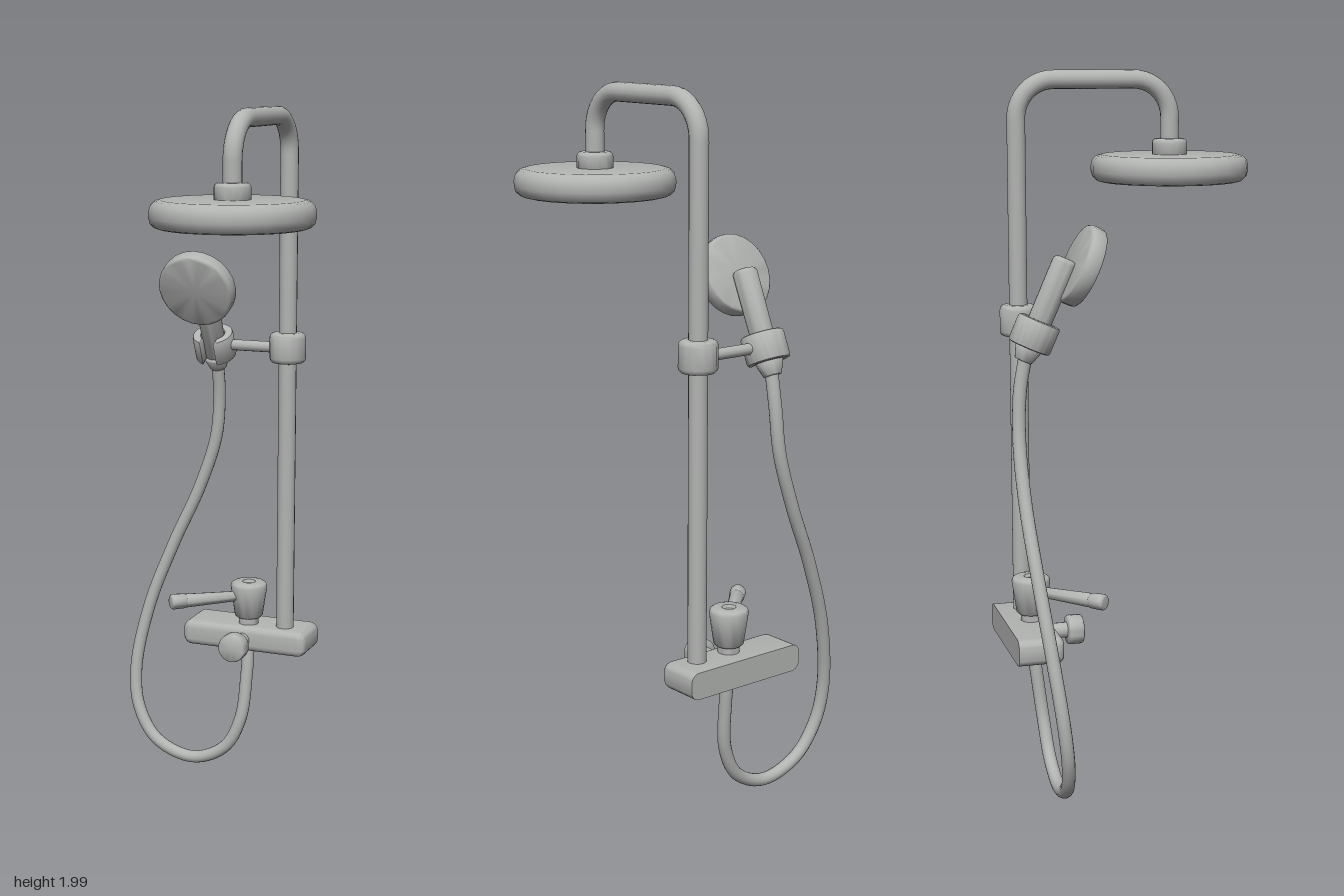
import * as THREE from 'three';
import { toCreasedNormals } from 'three/addons/utils/BufferGeometryUtils.js';

const V = (x, y, z) => new THREE.Vector3(x, y, z);

export function createModel() {
  const model = new THREE.Group();
  const metal = new THREE.MeshStandardMaterial({ color: 0xb2b4b2 });
  metal.name = 'satin metal';

  function add(name, geometry, parent = model) {
    const mesh = new THREE.Mesh(geometry, metal);
    mesh.name = name;
    parent.add(mesh);
    return mesh;
  }

  // Turned solid along y with rounded rims; radii may differ at each end
  function turned(rBottom, rTop, y0, y1, round, sides = 24) {
    const pts = [new THREE.Vector2(0, y0)];
    for (let i = 0; i <= 3; i++) {
      const a = (i / 3) * Math.PI / 2;
      pts.push(new THREE.Vector2(rBottom - round + round * Math.sin(a), y0 + round - round * Math.cos(a)));
    }
    for (let i = 0; i <= 3; i++) {
      const a = (i / 3) * Math.PI / 2;
      pts.push(new THREE.Vector2(rTop - round + round * Math.cos(a), y1 - round + round * Math.sin(a)));
    }
    pts.push(new THREE.Vector2(0, y1));
    return toCreasedNormals(new THREE.LatheGeometry(pts, sides), 0.8);
  }

  // Riser pipe and overhead arm with two round bends
  const X = 0.14, back = -0.292, front = 0.148, top = 1.974, bend = 0.105, k = bend * 0.448;
  const arm = new THREE.CurvePath();
  arm.add(new THREE.LineCurve3(V(X, 0.45, back), V(X, top - bend, back)));
  arm.add(new THREE.CubicBezierCurve3(V(X, top - bend, back), V(X, top - k, back),
    V(X, top, back + k), V(X, top, back + bend)));
  arm.add(new THREE.LineCurve3(V(X, top, back + bend), V(X, top, front - bend)));
  arm.add(new THREE.CubicBezierCurve3(V(X, top, front - bend), V(X, top, front - k),
    V(X, top - k, front), V(X, top - bend, front)));
  arm.add(new THREE.LineCurve3(V(X, top - bend, front), V(X, 1.78, front)));
  add('riserPipe', new THREE.TubeGeometry(arm, 120, 0.026, 16));

  // Overhead shower
  add('overheadShower', turned(0.222, 0.222, 1.69, 1.766, 0.03)).position.set(X, 0, front);
  add('overheadCollar', turned(0.05, 0.05, 1.755, 1.81, 0.012, 14)).position.set(X, 0, front);

  // Slider clamp on the riser and its side rod
  add('sliderClamp', turned(0.053, 0.053, 1.268, 1.356, 0.014, 14)).position.set(X, 0, back);
  const rod = add('sliderRod', new THREE.CylinderGeometry(0.016, 0.016, 0.19, 12));
  rod.rotation.z = Math.PI / 2;
  rod.position.set(0.05, 1.31, -0.296);

  // Tilted hand shower and its open-fronted holder
  const hand = new THREE.Group();
  hand.name = 'handShower';
  hand.position.set(-0.09, 1.307, -0.297);
  hand.rotation.x = THREE.MathUtils.degToRad(24);
  model.add(hand);

  const clip = new THREE.Shape();
  const rOut = 0.06, rIn = 0.034, gap = 0.021;
  const aOut = Math.asin(gap / rOut), aIn = Math.asin(gap / rIn);
  clip.absarc(0, 0, rOut, -Math.PI / 2 + aOut, 1.5 * Math.PI - aOut, false);
  clip.absarc(0, 0, rIn, 1.5 * Math.PI - aIn, -Math.PI / 2 + aIn, true);
  clip.closePath();
  const clipGeo = new THREE.ExtrudeGeometry(clip, {
    depth: 0.064, bevelThickness: 0.008, bevelSize: 0.008, bevelOffset: -0.008, bevelSegments: 2, curveSegments: 20
  });
  clipGeo.translate(0, 0, -0.032).rotateX(-Math.PI / 2);
  add('handShowerHolder', toCreasedNormals(clipGeo, 0.7), hand);

  add('handle', turned(0.033, 0.034, -0.045, 0.22, 0.014, 18), hand);
  add('hoseNut', turned(0.027, 0.038, -0.078, -0.034, 0.006, 16), hand);
  const head = add('handShowerHead', turned(0.112, 0.112, -0.024, 0.024, 0.01), hand);
  head.rotation.x = Math.PI / 2;
  head.position.set(0, 0.218, 0.047);

  // Mixer bar: rounded front edges, flat back
  const w = 0.174, h = 0.018, r = 0.006;
  const bar = new THREE.Shape();
  bar.absarc(w - r, h - r, r, 0, Math.PI / 2);
  bar.absarc(-w + r, h - r, r, Math.PI / 2, Math.PI);
  bar.absarc(-w + r, -h + r, r, Math.PI, 1.5 * Math.PI);
  bar.absarc(w - r, -h + r, r, 1.5 * Math.PI, 2 * Math.PI);
  bar.closePath();
  const barGeo = new THREE.ExtrudeGeometry(bar, {
    depth: 0.11, bevelThickness: 0.02, bevelSize: 0.02, bevelSegments: 4, curveSegments: 3
  });
  const pos = barGeo.attributes.position;
  for (let i = 0; i < pos.count; i++) pos.setZ(i, Math.max(0, pos.getZ(i)));
  add('mixerBar', toCreasedNormals(barGeo, 0.7)).position.set(0.025, 0.432, -0.366);

  // Temperature cup with a shallow dimple on top
  const cup = [[0, 0.46], [0.03, 0.46], [0.03, 0.49], [0.036, 0.49], [0.042, 0.496], [0.055, 0.585],
    [0.052, 0.594], [0.044, 0.599], [0.02, 0.599], [0.016, 0.59], [0, 0.59]];
  const cupGeo = new THREE.LatheGeometry(cup.map(([x, y]) => new THREE.Vector2(x, y)), 20);
  add('temperatureCup', toCreasedNormals(cupGeo, 0.7)).position.set(0.025, 0, -0.29);

  // Slanted lever with a thicker grip at its tip
  const lever = new THREE.Group();
  lever.name = 'lever';
  lever.position.set(0.025, 0.556, -0.29);
  lever.quaternion.setFromUnitVectors(V(0, 1, 0), V(-0.178, 0.004, 0.166).normalize());
  model.add(lever);
  add('leverArm', turned(0.015, 0.021, 0.03, 0.22, 0.004, 14), lever);
  add('leverGrip', turned(0.022, 0.023, 0.2, 0.25, 0.008, 14), lever);

  // Diverter knob on the front
  const diverter = new THREE.Group();
  diverter.name = 'diverter';
  diverter.position.set(0.025, 0.43, -0.25);
  diverter.rotation.x = Math.PI / 2;
  model.add(diverter);
  add('diverterStem', new THREE.CylinderGeometry(0.022, 0.022, 0.08, 16).translate(0, 0.035, 0), diverter);
  add('diverterKnob', turned(0.042, 0.042, 0.062, 0.108, 0.007, 18), diverter);

  // Hanging hose from the hand shower to the underside of the bar
  const hosePath = new THREE.CatmullRomCurve3([
    V(-0.09, 1.25, -0.322), V(-0.091, 1.15, -0.339), V(-0.104, 1.02, -0.345), V(-0.157, 0.86, -0.342),
    V(-0.237, 0.68, -0.329), V(-0.31, 0.48, -0.308), V(-0.345, 0.28, -0.283), V(-0.328, 0.16, -0.268),
    V(-0.265, 0.068, -0.258), V(-0.145, 0.029, -0.254), V(-0.04, 0.075, -0.255), V(0.01, 0.17, -0.261),
    V(0.024, 0.31, -0.277), V(0.025, 0.41, -0.29)
  ]);
  add('hose', new THREE.TubeGeometry(hosePath, 120, 0.0185, 14));

  return model;
}
